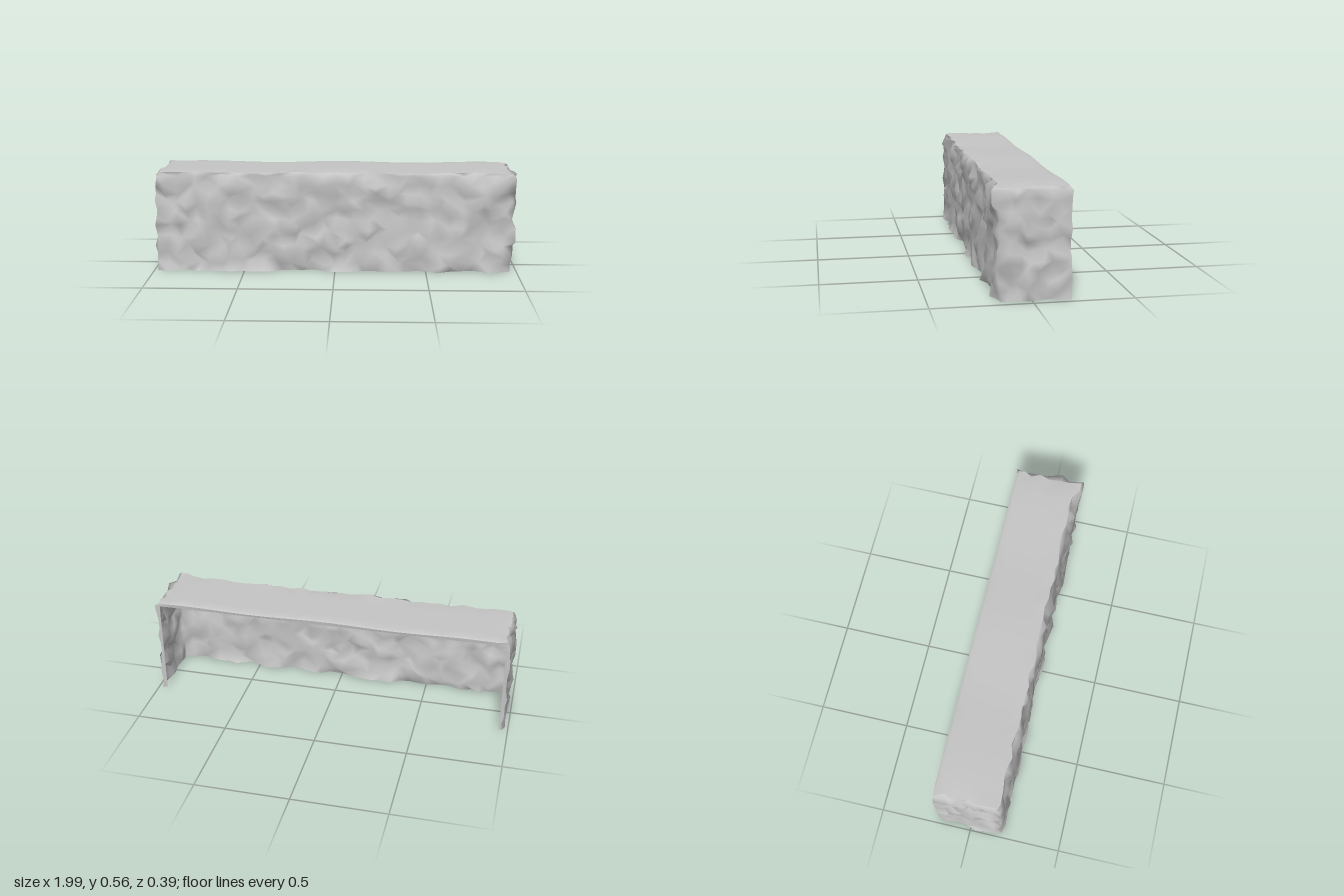
import * as THREE from 'three';

const NX = 34, NZ = 7, NY = 11;          // cells along the front, the ends and the height
const HALF_X = 0.973, FRONT = 0.169, BACK = -0.187;
const lerp = THREE.MathUtils.lerp;

const stone = new THREE.MeshStandardMaterial({ color: 0xc6c6c6, side: THREE.DoubleSide });
stone.name = 'grey stone';

// Seeded random number in -1..1
function makeRandom(seed) {
  return () => {
    seed = (seed * 1664525 + 1013904223) % 4294967296;
    return seed / 2147483648 - 1;
  };
}

// Smooth sheet through a grid of points, with mixed diagonals
function sheet(name, rows) {
  const random = makeRandom(7), n = rows[0].length, index = [];
  for (let r = 0; r < rows.length - 1; r++) {
    for (let c = 0; c < n - 1; c++) {
      const a = r * n + c, b = a + 1, d = a + n, e = d + 1;
      if (random() > 0) index.push(a, b, e, a, e, d);
      else index.push(a, b, d, b, e, d);
    }
  }
  const geometry = new THREE.BufferGeometry().setFromPoints(rows.flat());
  geometry.setIndex(index);
  geometry.computeVertexNormals();
  const mesh = new THREE.Mesh(geometry, stone);
  mesh.name = name;
  return mesh;
}

// U-shaped plan: one end, the front, the other end
function planPoint(k) {
  const last = 2 * NZ + NX;
  const onLeft = k <= NZ, onRight = k >= NZ + NX;
  const j = Math.min(k, last - k, NZ);
  return {
    x: onLeft ? -HALF_X : onRight ? HALF_X : lerp(-HALF_X, HALF_X, (k - NZ) / NX),
    z: lerp(BACK, FRONT, j / NZ),
    nx: onLeft ? -1 : onRight ? 1 : 0,
    nz: k >= NZ && k <= NZ + NX ? 1 : 0,
    open: k === 0 || k === last,
  };
}

export function createModel() {
  const group = new THREE.Group();
  group.name = 'rockLedge';
  const random = makeRandom(41);

  // Rough wall, whose last row curls onto the top
  const wallRows = [];
  for (let r = 0; r <= NY + 1; r++) {
    const row = [];
    for (let k = 0; k <= 2 * NZ + NX; k++) {
      const p = planPoint(k);
      const rim = r > NY, corner = p.nx && p.nz;
      const chip = random() * (corner ? 0.013 : 0.022);
      const along = random() * (p.open ? 0.006 : 0.02);
      const up = random() * (r === 0 ? 0.003 : rim ? 0.006 : r === NY ? 0.008 : 0.016);
      const inset = (p.nz ? 0.014 : 0.024) + 0.012 * random();
      const out = rim ? -inset : p.open ? chip * 0.4 : chip;
      const y = rim ? 0.555 : 0.006 + 0.53 * r / NY;
      const v = new THREE.Vector3(
        p.x + p.nx * out + (p.nx ? 0 : along),
        y + up,
        p.z + p.nz * out + (p.nz ? 0 : along));
      // Overhanging block at the upper front corner
      if (p.nz && p.x > 0.87 && y > 0.47) v.z = rim ? 0.185 : 0.197;
      row.push(v);
    }
    wallRows.push(row);
  }
  group.add(sheet('roughWall', wallRows));

  // Smooth top, joined to the rim of the wall on three sides and rounded over at the back
  const rim = wallRows[NY + 1], topRows = [];
  for (let j = NZ; j >= 0; j--) {
    const left = rim[j], right = rim[2 * NZ + NX - j], row = [];
    for (let i = 0; i <= NX; i++) {
      if (j === NZ) row.push(rim[NZ + i]);
      else if (i === 0) row.push(left);
      else if (i === NX) row.push(right);
      else {
        row.push(new THREE.Vector3(
          lerp(left.x, right.x, i / NX),
          (j ? 0.557 : 0.55) + 0.004 * Math.sin(i * 0.45),
          j ? lerp(BACK + 0.015, FRONT - 0.016, (j - 1) / (NZ - 1)) : BACK));
      }
    }
    topRows.push(row);
  }
  group.add(sheet('flatTop', topRows));

  // Narrow lip around the open back
  const outer = [
    ...wallRows.map(row => row[0]),
    ...topRows[NZ].slice(1, -1),
    ...wallRows.map(row => row[row.length - 1]).reverse(),
  ];
  const inner = outer.map(v => new THREE.Vector3(
    THREE.MathUtils.clamp(v.x, -0.952, 0.952), Math.min(v.y, 0.534), BACK + 0.003));
  group.add(sheet('backLip', [inner, outer]));

  return group;
}
